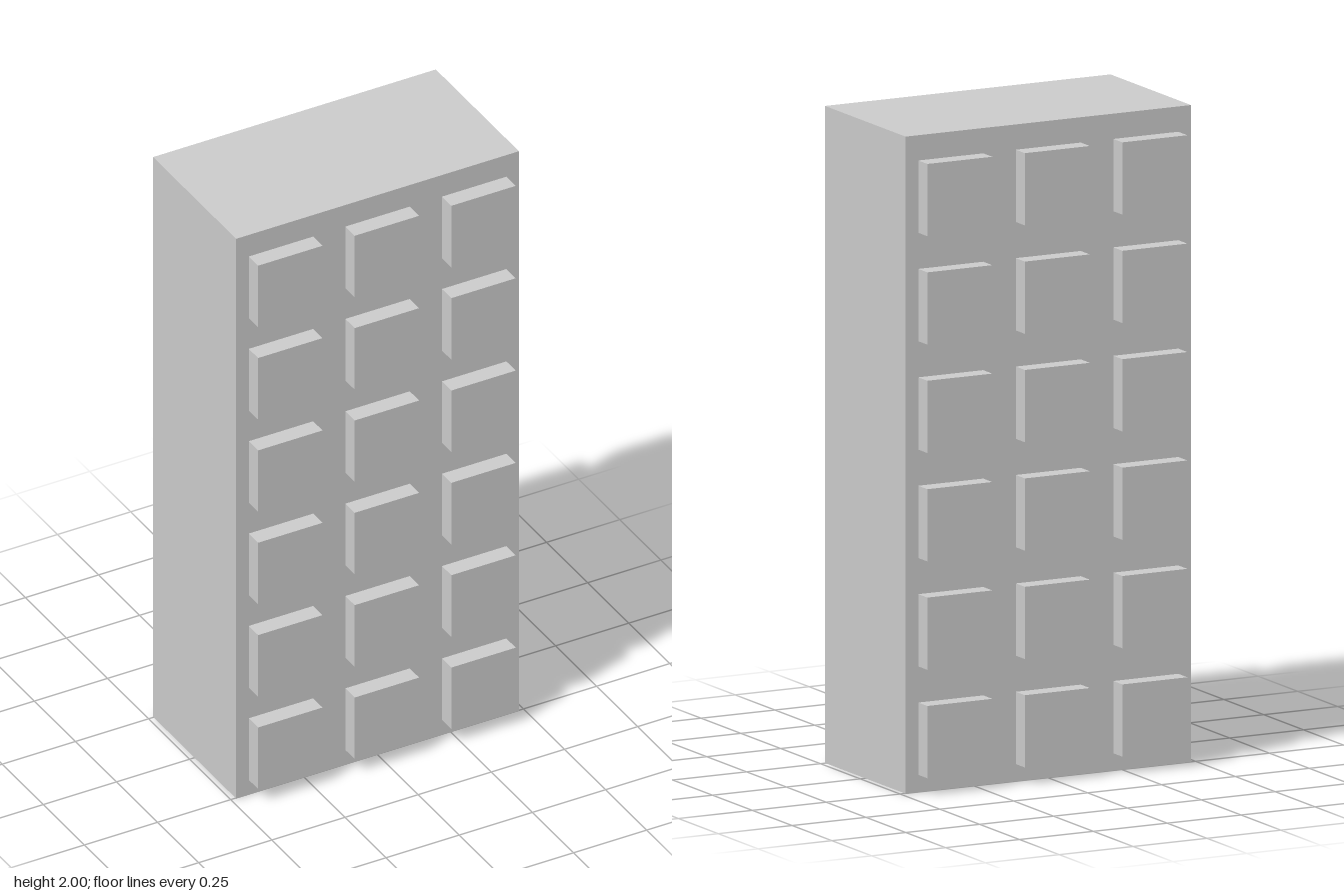
import * as THREE from 'three';

const WIDTH = 0.966, HEIGHT = 2, DEPTH = 0.506;
const WINDOW = 0.22, PITCH = 0.33, RELIEF = 0.057;
const COLUMNS = 3, ROWS = 6, FIRST_ROW_Y = 0.163;

export function createModel() {
  const model = new THREE.Group();
  model.name = 'towerBlock';
  const material = new THREE.MeshStandardMaterial({ color: 0xcccccc, flatShading: true });

  // Main block of the building
  const body = new THREE.Mesh(new THREE.BoxGeometry(WIDTH, HEIGHT, DEPTH), material);
  body.name = 'buildingBody';
  body.position.y = HEIGHT / 2;
  model.add(body);

  // Raised square windows, set slightly into the front and back walls
  const inset = 0.02;
  const windowGeometry = new THREE.BoxGeometry(WINDOW, WINDOW, RELIEF + inset);
  for (const [side, name] of [[1, 'frontWindows'], [-1, 'backWindows']]) {
    const facade = new THREE.Group();
    facade.name = name;
    for (let row = 0; row < ROWS; row++) {
      for (let col = 0; col < COLUMNS; col++) {
        const pane = new THREE.Mesh(windowGeometry, material);
        pane.name = `window_${row + 1}_${col + 1}`;
        pane.position.set(
          (col - (COLUMNS - 1) / 2) * PITCH,
          FIRST_ROW_Y + row * PITCH,
          side * (DEPTH / 2 + (RELIEF - inset) / 2)
        );
        facade.add(pane);
      }
    }
    model.add(facade);
  }
  return model;
}
